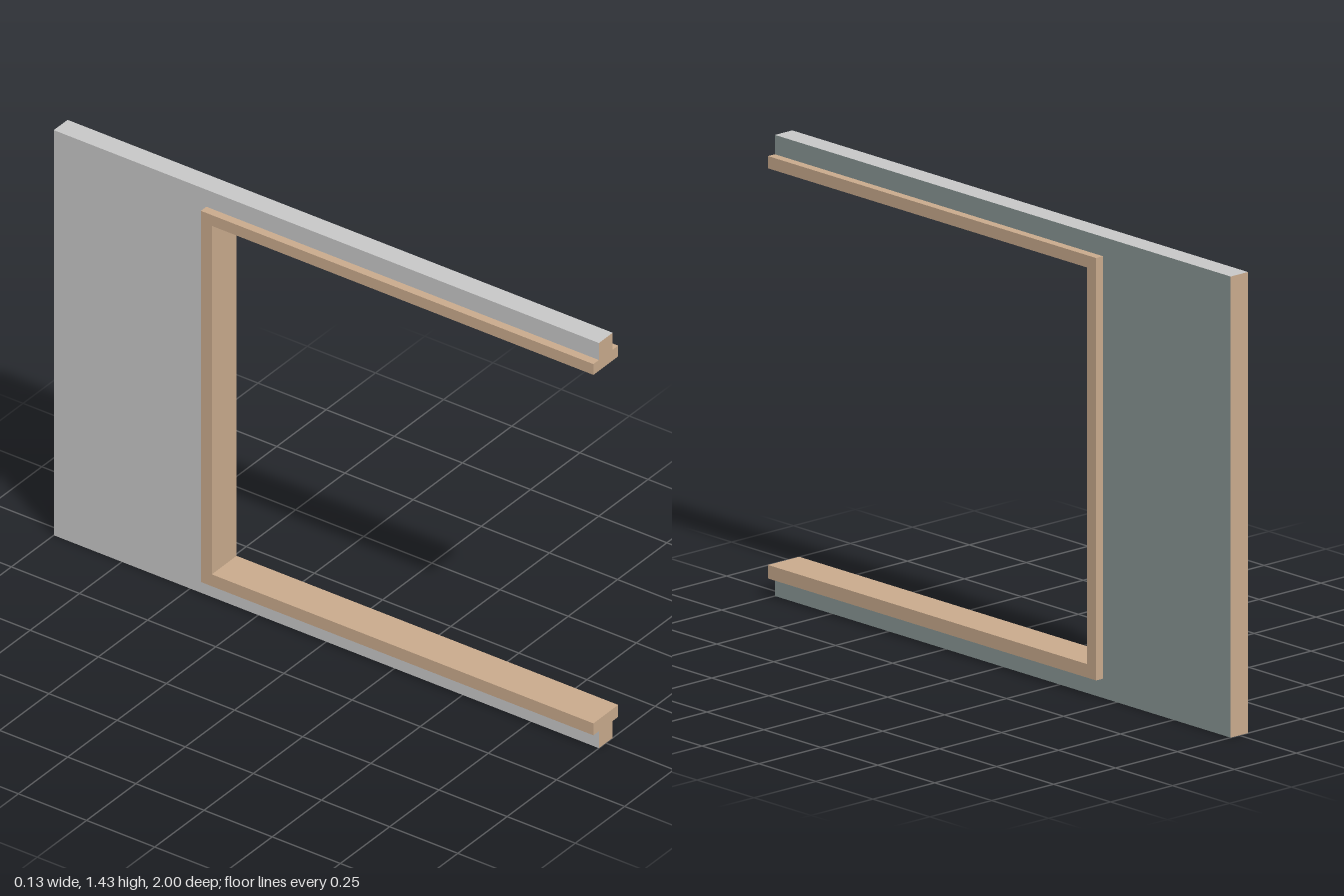
import * as THREE from 'three';

const material = (name, color) => {
  const m = new THREE.MeshStandardMaterial({ color });
  m.name = name;
  return m;
};

// C-shaped slab open towards +z: an outer box with a notch cut from its front
function cShape(back, bottom, top, notchBack, notchBottom, notchTop, width) {
  const outline = [
    [1, bottom], [back, bottom], [back, top], [1, top],
    [1, notchTop], [notchBack, notchTop], [notchBack, notchBottom], [1, notchBottom],
  ].map(([z, y]) => new THREE.Vector2(-z, y));
  const geometry = new THREE.ExtrudeGeometry(new THREE.Shape(outline), { depth: width, bevelEnabled: false });
  geometry.translate(0, 0, -width / 2);
  geometry.rotateY(Math.PI / 2);
  return geometry;
}

// Pick a material for each triangle from the direction it faces
function groupByNormal(geometry, pick) {
  const normal = geometry.attributes.normal;
  geometry.clearGroups();
  for (let i = 0; i < normal.count; i += 3) {
    geometry.addGroup(i, 3, pick(normal.getX(i), normal.getY(i), normal.getZ(i)));
  }
  return geometry;
}

export function createModel() {
  const model = new THREE.Group();
  model.name = 'wallWithOpening';

  const greenGrey = material('greenGreyPaint', 0x8a9896);
  const grey = material('greyPlaster', 0xc8c8c8);
  const wood = material('wood', 0xcaab8d);

  // Wall: painted on its left face, plain elsewhere, wooden at both ends
  const wallGeometry = groupByNormal(
    cShape(-1, 0, 1.43, -0.44, 0.06, 1.37, 0.07),
    (x, y, z) => (x > 0.5 ? 0 : Math.abs(z) > 0.5 ? 2 : 1),
  );
  const wall = new THREE.Mesh(wallGeometry, [greenGrey, grey, wood]);
  wall.name = 'wall';

  // Frame lining the opening, standing proud of both wall faces
  const frame = new THREE.Mesh(cShape(-0.44, 0.06, 1.37, -0.4, 0.102, 1.332, 0.126), wood);
  frame.name = 'openingFrame';

  model.add(wall, frame);
  return model;
}
